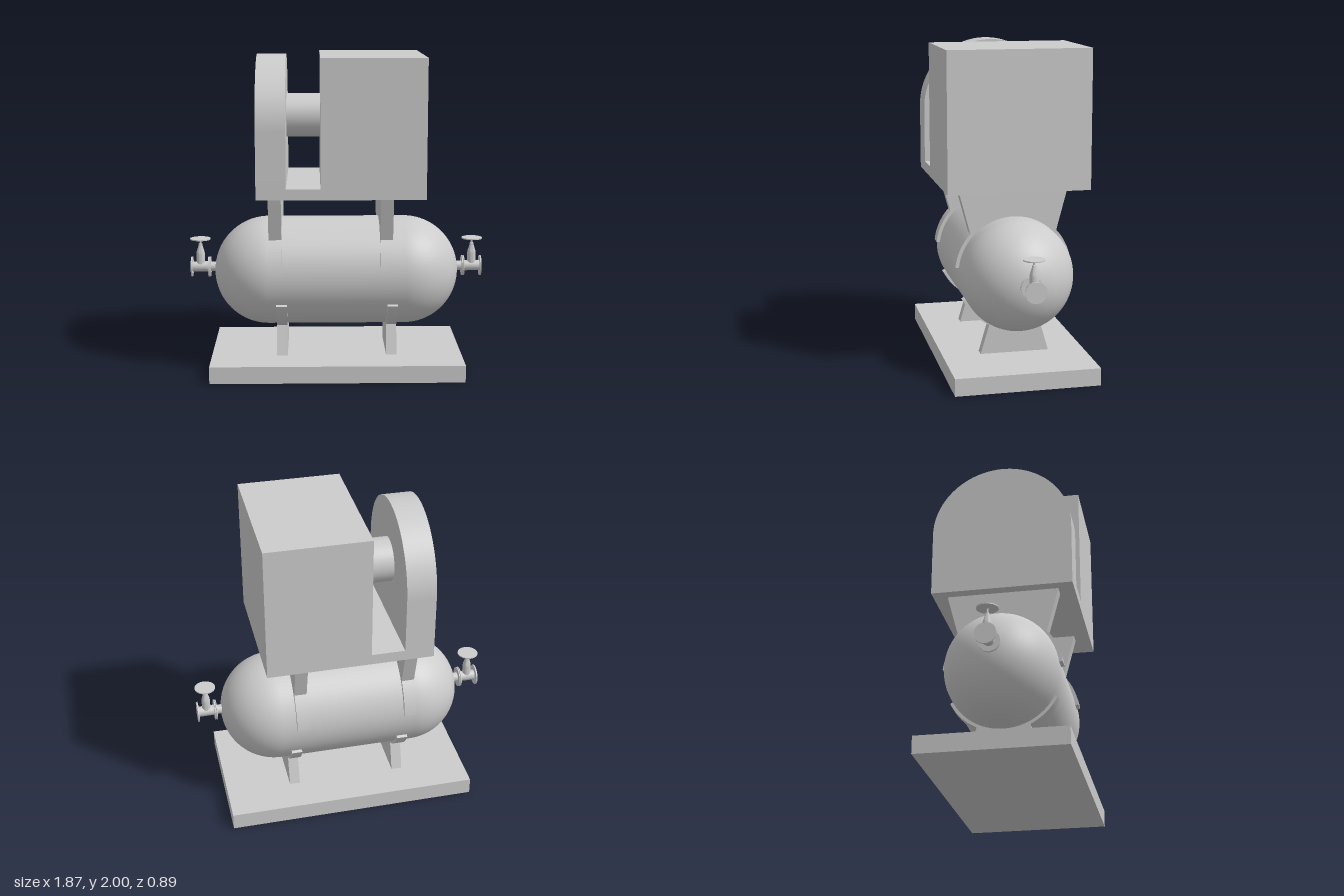
import * as THREE from 'three';
import { toCreasedNormals } from 'three/addons/utils/BufferGeometryUtils.js';

const grey = new THREE.MeshStandardMaterial({ color: 0xcccccc });
const TANK_Y = 0.62, TANK_R = 0.345, MID_Z = -0.008, MID_X = -0.004;

function mesh(name, geometry, parent) {
  const m = new THREE.Mesh(geometry, grey);
  m.name = name;
  parent.add(m);
  return m;
}

// Box given by its limits on each axis
function box(name, [x0, x1], [y0, y1], [z0, z1], parent) {
  const m = mesh(name, new THREE.BoxGeometry(x1 - x0, y1 - y0, z1 - z0), parent);
  m.position.set((x0 + x1) / 2, (y0 + y1) / 2, (z0 + z1) / 2);
  return m;
}

// Cylinder lying along x
function rod(name, r, x0, x1, parent, y = 0, z = 0) {
  const m = mesh(name, new THREE.CylinderGeometry(r, r, x1 - x0, 40).rotateZ(Math.PI / 2), parent);
  m.position.set((x0 + x1) / 2, y, z);
  return m;
}

// Extrudes a cross-section (drawn across the machine) from x0 to x1
function slab(name, shape, x0, x1, parent) {
  const g = new THREE.ExtrudeGeometry(shape, { depth: x1 - x0, bevelEnabled: false, curveSegments: 40 });
  g.rotateY(Math.PI / 2);
  const m = mesh(name, toCreasedNormals(g, 0.5), parent);
  m.position.set(x0, 0, MID_Z);
  return m;
}

// Curved saddle pad wrapped on the tank
function padShape(r, a0, a1) {
  const s = new THREE.Shape();
  s.absarc(0, TANK_Y, r, a0, a1, false);
  s.absarc(0, TANK_Y, TANK_R - 0.005, a1, a0, true);
  s.closePath();
  return s;
}

// Tapered web plate whose inner edge is hidden in the tank
function webShape(halfOuter, yOuter, halfInner, yInner) {
  const s = new THREE.Shape();
  s.moveTo(-halfOuter, yOuter);
  s.lineTo(halfOuter, yOuter);
  s.lineTo(halfInner, yInner);
  s.lineTo(-halfInner, yInner);
  s.closePath();
  // the outline must run anticlockwise for outward faces; ExtrudeGeometry reorders it when needed
  return s;
}

// Gate valve pointing along +x, measured from the machine centre
function makeValve() {
  const v = new THREE.Group();
  v.name = 'valve';
  rod('nozzle', 0.03, 0.74, 0.815, v);
  rod('innerFlange', 0.065, 0.807, 0.813, v);
  rod('bodyFlange', 0.065, 0.816, 0.823, v);
  rod('valveBody', 0.033, 0.81, 0.925, v);
  rod('outerFlange', 0.065, 0.923, 0.932, v);
  const profile = [[0, 0], [0.027, 0], [0.027, 0.085], [0.025, 0.1], [0.014, 0.135], [0.012, 0.15], [0.006, 0.152], [0.006, 0.18], [0, 0.18]]
    .map(([r, y]) => new THREE.Vector2(r, y));
  mesh('bonnetAndStem', toCreasedNormals(new THREE.LatheGeometry(profile, 32), 0.6), v).position.x = 0.872;
  mesh('handwheel', new THREE.CylinderGeometry(0.065, 0.065, 0.007, 40), v).position.set(0.872, 0.182, 0);
  return v;
}

export function createModel() {
  const model = new THREE.Group();
  model.name = 'tankMountedCompressor';

  // Base plate
  box('basePlate', [-0.797, 0.789], [0, 0.108], [-0.445, 0.445], model);

  // Pressure tank with domed ends
  const tank = mesh('tank', new THREE.CapsuleGeometry(TANK_R, 0.866, 24, 64).rotateZ(Math.PI / 2), model);
  tank.position.set(MID_X, TANK_Y, MID_Z);

  // Lower saddles carrying the tank
  for (const [x0, x1] of [[-0.385, -0.317], [0.309, 0.375]]) {
    const saddle = new THREE.Group();
    saddle.name = 'lowerSaddle';
    slab('saddleWeb', webShape(0.216, 0.105, 0.15, 0.33), x0, x1, saddle);
    slab('saddlePad', padShape(0.364, Math.PI + 0.47, 2 * Math.PI - 0.47), x0, x1, saddle);
    model.add(saddle);
  }

  // Upper saddles carrying the machine
  for (const [x0, x1] of [[-0.43, -0.35], [0.264, 0.343]]) {
    const saddle = new THREE.Group();
    saddle.name = 'upperSaddle';
    slab('saddleWeb', webShape(0.346, 1.15, 0.258, 0.82), x0, x1, saddle);
    slab('saddlePad', padShape(0.367, 0.11, Math.PI - 0.11), x0, x1, saddle);
    model.add(saddle);
  }

  // Machine on top: bed, housing, drive shaft and arched belt guard
  box('machineBed', [-0.499, 0.533], [1.148, 1.215], [-0.442, 0.434], model);
  box('machineHousing', [-0.108, 0.533], [1.215, 2], [-0.442, 0.434], model);
  rod('driveShaft', 0.138, -0.33, -0.1, model, 1.617, -0.012);
  const arch = new THREE.Shape();
  arch.moveTo(-0.438, 1.215);
  arch.lineTo(0.438, 1.215);
  arch.absarc(0, 1.562, 0.438, 0, Math.PI, false);
  arch.closePath();
  slab('beltGuard', arch, -0.499, -0.317, model).position.z = -0.004;

  // Valves at both tank ends
  for (const turn of [0, Math.PI]) {
    const valve = makeValve();
    valve.position.set(MID_X, 0.64, MID_Z);
    valve.rotation.y = turn;
    model.add(valve);
  }
  return model;
}
